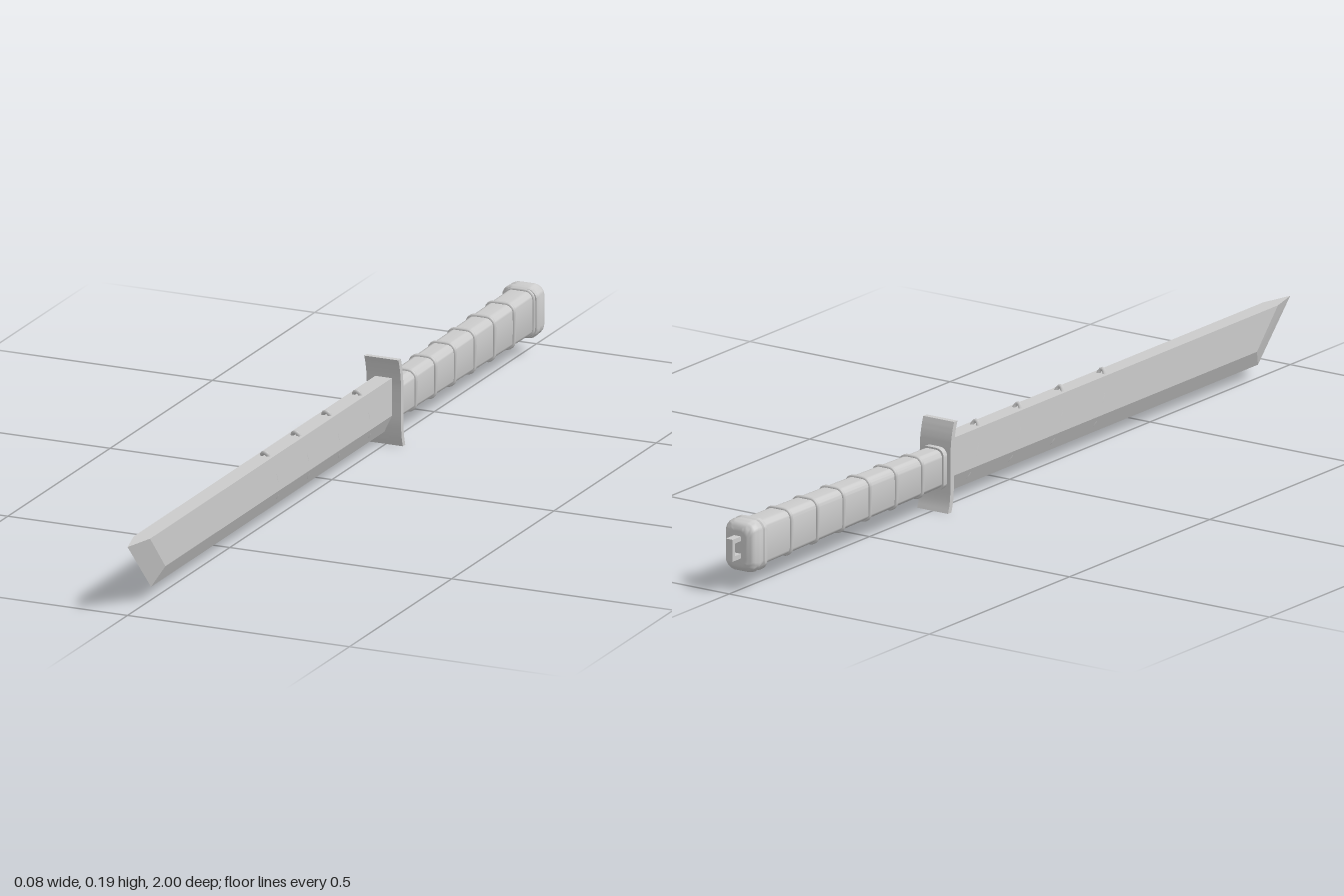
import * as THREE from 'three';
import { toCreasedNormals } from 'three/addons/utils/BufferGeometryUtils.js';

const MID = 0.092; // height of the grip axis
const V = (x, y, z) => new THREE.Vector3(x, y, z);

// Rounded-rectangle loop, counter-clockwise seen from +z
function loop(hx, hy, r, z, cy = MID, n = 6) {
  const pts = [];
  [[1, 1], [-1, 1], [-1, -1], [1, -1]].forEach(([sx, sy], q) => {
    for (let i = 0; i <= n; i++) {
      const a = (q + i / n) * Math.PI / 2;
      pts.push(V(sx * (hx - r) + r * Math.cos(a), cy + sy * (hy - r) + r * Math.sin(a), z));
    }
  });
  return pts;
}

// Skin a row of loops running from front to back, capped at both ends
function loft(loops) {
  const pos = [], n = loops[0].length;
  const tri = (...p) => p.forEach(v => pos.push(v.x, v.y, v.z));
  for (let k = 0; k + 1 < loops.length; k++) {
    const a = loops[k], b = loops[k + 1];
    for (let i = 0; i < n; i++) {
      const j = (i + 1) % n;
      tri(a[i], b[i], b[j]);
      tri(a[i], b[j], a[j]);
    }
  }
  const first = loops[0], last = loops[loops.length - 1];
  for (let i = 1; i + 1 < n; i++) {
    tri(first[0], first[i], first[i + 1]);
    tri(last[0], last[i + 1], last[i]);
  }
  const g = new THREE.BufferGeometry();
  g.setAttribute('position', new THREE.Float32BufferAttribute(pos, 3));
  return toCreasedNormals(g, 0.7);
}

// Side profile in (-z, y), extruded across x
function sideExtrude(shape, width) {
  const g = new THREE.ExtrudeGeometry(shape, { depth: width, bevelEnabled: false, curveSegments: 10 });
  g.translate(0, 0, -width / 2).rotateY(Math.PI / 2);
  return toCreasedNormals(g, 0.6);
}

function bladeGeometry() {
  const w = 0.0185, top = 0.147, back = -0.26;
  const A = V(w, top, back), B = V(w, top, 0.93), C = V(w, 0.066, 0.855), D = V(w, 0.066, back);
  const E = V(0, 0.028, 0.885), F = V(0, 0.028, back), T = V(0, top, 1), A0 = V(0, top, back);
  // side, cutting bevel, slanted tip, spine, hidden rear
  const quads = [[A, B, C, D], [D, C, E, F], [B, T, E, C], [A, A0, T, B], [A, D, F, A0]];
  const pos = [];
  for (const s of [1, -1]) {
    for (const q of quads) {
      const p = s > 0 ? q : [...q].reverse();
      for (const i of [0, 1, 2, 0, 2, 3]) pos.push(s * p[i].x, p[i].y, p[i].z);
    }
  }
  const g = new THREE.BufferGeometry();
  g.setAttribute('position', new THREE.Float32BufferAttribute(pos, 3));
  g.computeVertexNormals();
  return g;
}

export function createModel() {
  const model = new THREE.Group();
  const mat = new THREE.MeshStandardMaterial({ color: 0xcccccc });
  const add = (name, geometry) => {
    const mesh = new THREE.Mesh(geometry, mat);
    mesh.name = name;
    model.add(mesh);
    return mesh;
  };
  const ring = (name, pts, radius) =>
    add(name, new THREE.TubeGeometry(new THREE.CatmullRomCurve3(pts, true), 64, radius, 6, true));

  add('blade', bladeGeometry());

  // Slanted bands showing only at the spine and the cutting bevel
  [0.33, 0.18, 0.03, -0.12].forEach(z => {
    const pts = [];
    for (let i = 0; i < 24; i++) {
      const a = i / 24 * Math.PI * 2, s = Math.sin(a);
      pts.push(V(0.0145 * Math.cos(a), 0.099 + 0.056 * s, z - 0.022 + 0.022 * s));
    }
    ring('bladeBand', pts, 0.0045);
  });

  // Guard: plate whose top sweeps forward and bottom sweeps back
  const centre = new THREE.SplineCurve([[0.247, 0.191], [0.254, 0.17], [0.259, 0.14], [0.26, 0.095],
    [0.26, 0.05], [0.263, 0.02], [0.269, 0]].map(p => new THREE.Vector2(...p))).getPoints(24);
  const half = 0.006;
  add('guard', sideExtrude(new THREE.Shape([
    ...centre.map(p => new THREE.Vector2(p.x - half, p.y)),
    ...centre.reverse().map(p => new THREE.Vector2(p.x + half, p.y)),
  ]), 0.077));

  // Grip, widening slightly toward the pommel
  const gripX = t => 0.026 + 0.005 * t, gripY = t => 0.041 + 0.007 * t;
  add('grip', loft([0, 1].map(t => loop(gripX(t), gripY(t), 0.016, -0.26 - 0.67 * t))));
  add('gripCollar', loft([-0.26, -0.278].map(z => loop(0.03, 0.045, 0.018, z))));
  for (let i = 0; i < 7; i++) {
    const z = -0.35 - 0.0945 * i, t = (-0.26 - z) / 0.67;
    ring('gripRing', loop(gripX(t), gripY(t), 0.016, z, MID, 4), 0.0045);
  }

  // Pommel: rim, then a cap rounded off to the rear
  const cap = [loop(0.038, 0.052, 0.022, -0.918), loop(0.041, 0.055, 0.024, -0.922),
    loop(0.041, 0.055, 0.024, -0.93), loop(0.038, 0.053, 0.023, -0.933)];
  for (let i = 0; i <= 6; i++) {
    const a = i / 6 * Math.PI / 2, d = 0.02 * (1 - Math.cos(a));
    cap.push(loop(0.04 - d, 0.055 - d, 0.024 - d * 0.5, -0.946 - 0.024 * Math.sin(a)));
  }
  add('pommel', loft(cap));

  // Lanyard loop
  const rect = (P, x0, x1, y0, y1) => new P([[x0, y0], [x1, y0], [x1, y1], [x0, y1]]
    .map(p => new THREE.Vector2(...p)));
  const frame = rect(THREE.Shape, 0.96, 1, 0.07, 0.117);
  frame.holes.push(rect(THREE.Path, 0.968, 0.991, 0.08, 0.107));
  add('lanyardLoop', sideExtrude(frame, 0.017));

  return model;
}
